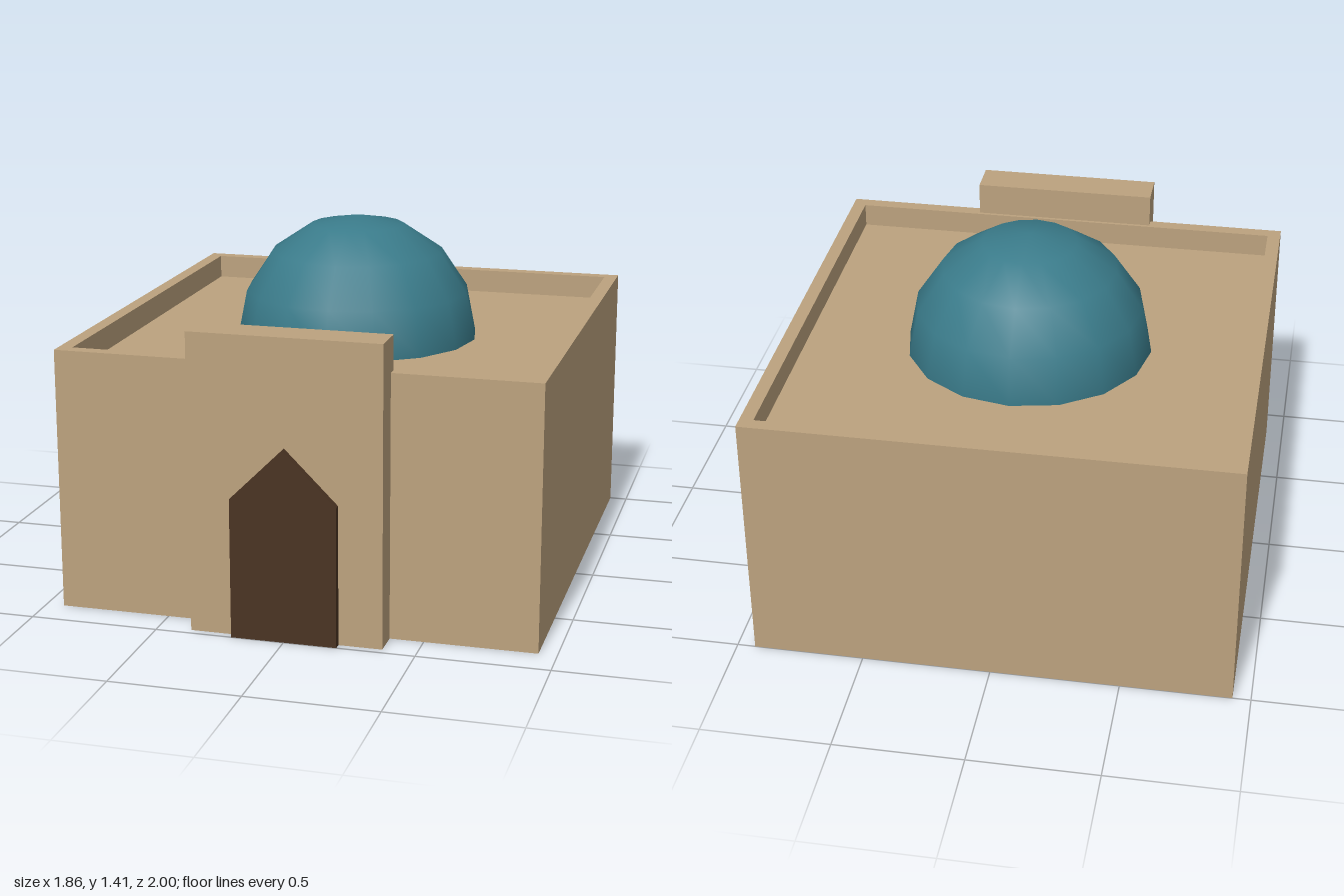
import * as THREE from 'three';

const material = (name, color) => {
  const m = new THREE.MeshStandardMaterial({ color });
  m.name = name;
  return m;
};

export function createModel() {
  const model = new THREE.Group();
  model.name = 'domedBuilding';
  const sandstone = material('sandstone', 0xbca27e);
  const teal = material('tealTile', 0x3a7b8a);
  const wood = material('darkWood', 0x4a3322);

  const add = (name, geometry, mat, x, y, z) => {
    const mesh = new THREE.Mesh(geometry, mat);
    mesh.name = name;
    mesh.position.set(x, y, z);
    model.add(mesh);
    return mesh;
  };

  // Square hall with a sunken roof behind a parapet: a four-sided lathe
  const half = 0.93, inner = 0.877, wallTop = 1.022, roofY = 0.927, centerZ = -0.07;
  const profile = [[0, 0], [half, 0], [half, wallTop], [inner, wallTop], [inner, roofY], [0, roofY]]
    .map(([r, y]) => new THREE.Vector2(r * Math.SQRT2, y));
  const hall = new THREE.LatheGeometry(profile, 4, Math.PI / 4).toNonIndexed();
  hall.computeVertexNormals();
  add('hallWalls', hall, sandstone, 0, 0, centerZ);

  // Smooth-shaded half dome resting on the roof
  add('dome', new THREE.SphereGeometry(0.485, 16, 4, 0, Math.PI * 2, 0, Math.PI / 2),
    teal, 0, 0.929, centerZ);

  // Tall portal block on the front wall
  add('portal', new THREE.BoxGeometry(0.74, 1.155, 0.15), sandstone, 0, 1.155 / 2, 0.895);

  // Pointed door slab
  const door = new THREE.Shape([[-0.203, 0], [0.203, 0], [0.203, 0.54], [0, 0.742], [-0.203, 0.54]]
    .map(([x, y]) => new THREE.Vector2(x, y)));
  add('door', new THREE.ExtrudeGeometry(door, { depth: 0.03, bevelEnabled: false }), wood, 0, 0, 0.97);

  return model;
}
